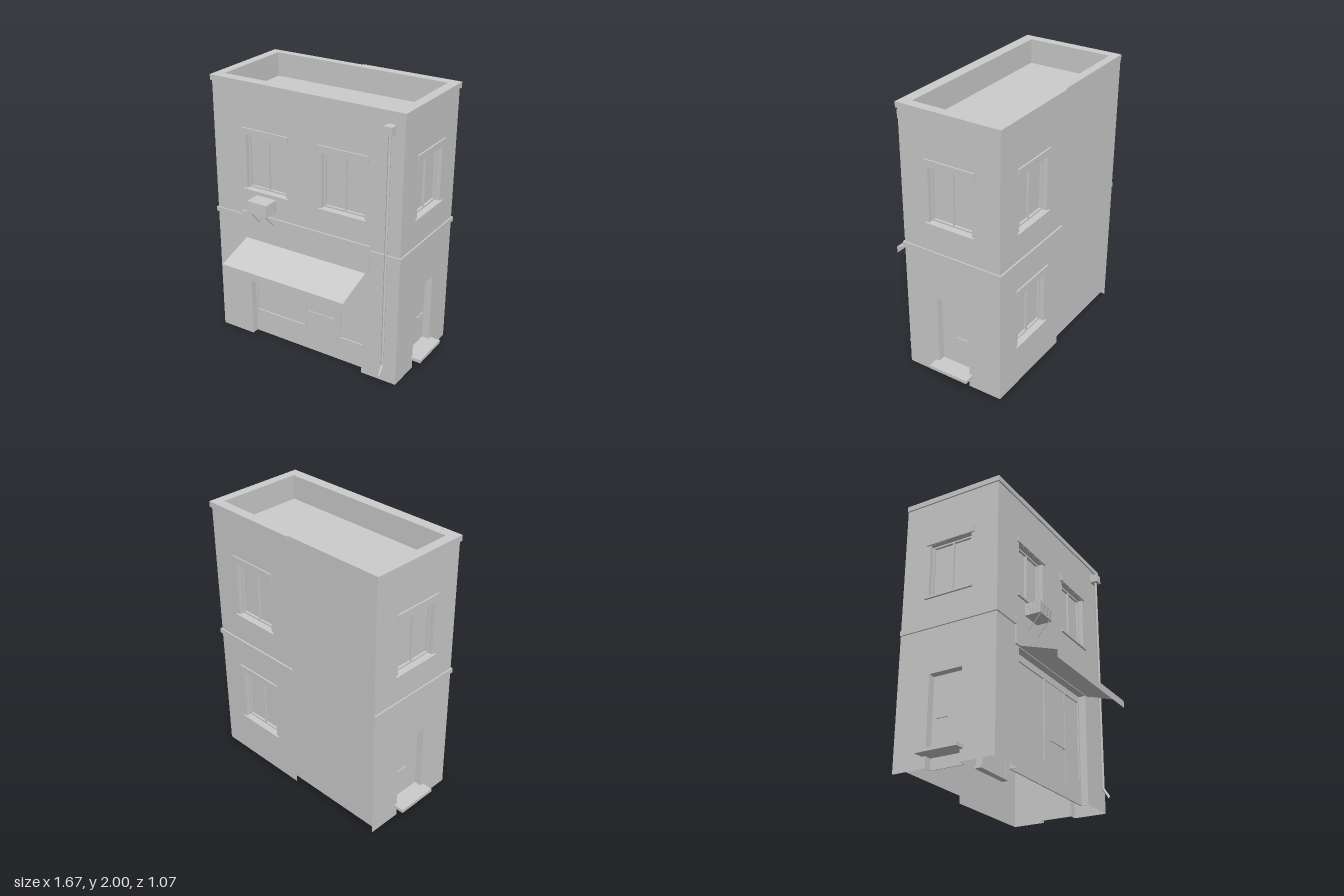
import * as THREE from 'three';

const W = 0.755, D = 0.38, ZC = -0.14, ROOF = 1.82, RECESS = 0.055;
const mat = new THREE.MeshStandardMaterial({ color: 0xcccccc });
const sheet = new THREE.MeshStandardMaterial({ color: 0xcccccc, side: THREE.DoubleSide });

function add(parent, name, geometry, material = mat) {
  const mesh = new THREE.Mesh(geometry, material);
  mesh.name = name;
  parent.add(mesh);
  return mesh;
}

// Box given by its limits
function block(parent, name, x0, x1, y0, y1, z0, z1) {
  const mesh = add(parent, name, new THREE.BoxGeometry(x1 - x0, y1 - y0, z1 - z0));
  mesh.position.set((x0 + x1) / 2, (y0 + y1) / 2, (z0 + z1) / 2);
  return mesh;
}

function polygon(points, holes = []) {
  const shape = new THREE.Shape(points.map(p => new THREE.Vector2(...p)));
  for (const [x0, x1, y0, y1] of holes) {
    shape.holes.push(new THREE.Path(
      [[x0, y0], [x0, y1], [x1, y1], [x1, y0]].map(p => new THREE.Vector2(...p))));
  }
  return shape;
}

const rect = (x0, x1, y0, y1) => [[x0, y0], [x1, y0], [x1, y1], [x0, y1]];

// Flat plate with holes, its back at z
function plate(parent, name, outline, holes, z, depth) {
  const geometry = new THREE.ExtrudeGeometry(polygon(outline, holes), { depth, bevelEnabled: false });
  return add(parent, name, geometry).position.z = z;
}

// Inner faces of an opening
function reveal(parent, x0, x1, y0, y1, hasSill) {
  const t = 0.003;
  block(parent, 'revealSide', x0 - t, x0, y0, y1, -RECESS, -0.001);
  block(parent, 'revealSide', x1, x1 + t, y0, y1, -RECESS, -0.001);
  block(parent, 'revealTop', x0, x1, y1, y1 + t, -RECESS, -0.001);
  if (hasSill) block(parent, 'revealBottom', x0, x1, y0 - t, y0, -RECESS, -0.001);
}

// A wall group faces local +z; its outline may be notched from below
function wall(root, name, x, z, turn, outline, holes) {
  const group = new THREE.Group();
  group.name = name;
  group.position.set(x, 0, z);
  group.rotation.y = turn;
  root.add(group);
  add(group, name + 'Surface', new THREE.ShapeGeometry(polygon(outline, holes)), sheet);
  return group;
}

const notched = (half, x0, x1, top) =>
  [[-half, 0], [x0, 0], [x0, top], [x1, top], [x1, 0], [half, 0], [half, ROOF], [-half, ROOF]];

const windowHole = (cx, y) => [cx - 0.168, cx + 0.168, y, y + 0.405];

function addWindow(parent, cx, y) {
  const group = new THREE.Group();
  group.name = 'window';
  group.position.set(cx, y, 0);
  parent.add(group);
  reveal(group, -0.168, 0.168, 0, 0.405, true);
  plate(group, 'windowFrame', rect(-0.168, 0.168, 0, 0.405),
    [[-0.156, -0.005, 0.012, 0.393], [0.005, 0.156, 0.012, 0.393]], -RECESS, 0.02);
  const glass = add(group, 'glass', new THREE.PlaneGeometry(0.336, 0.405), sheet);
  glass.position.set(0, 0.2025, -RECESS + 0.003);
  block(group, 'lintel', -0.193, 0.193, 0.405, 0.455, 0, 0.011);
  block(group, 'sill', -0.19, 0.19, -0.017, 0, -RECESS, 0.015);
}

// Push bar on two short posts
function handle(parent, x0, x1, z) {
  block(parent, 'handleBar', x0, x1, 0.332, 0.339, z + 0.012, z + 0.019);
  for (const x of [x0 + 0.01, x1 - 0.016]) block(parent, 'handlePost', x, x + 0.006, 0.333, 0.338, z, z + 0.013);
}

function addSideDoor(parent, dir) {
  reveal(parent, -0.128, 0.128, 0, 0.635, false);
  block(parent, 'doorBase', -0.128, 0.128, 0, 0.08, -RECESS - 0.006, -RECESS);
  block(parent, 'door', -0.128, 0.128, 0.08, 0.635, -RECESS - 0.006, -RECESS);
  handle(parent, dir < 0 ? -0.087 : 0, dir < 0 ? 0 : 0.087, -RECESS);
  block(parent, 'doorStep', -0.155, 0.155, 0.08, 0.105, 0, 0.078);
  block(parent, 'doorStepInner', -0.128, 0.128, 0.08, 0.105, -RECESS, 0);
}

function addShopfront(front) {
  const shop = new THREE.Group();
  shop.name = 'shopfront';
  front.add(shop);
  const z = -RECESS;
  reveal(shop, -0.48, 0.48, 0, 0.82, false);
  block(shop, 'shopBase', -0.48, 0.48, 0, 0.08, z - 0.01, z);
  plate(shop, 'shopFrame', rect(-0.48, 0.48, 0.08, 0.82),
    [[-0.465, -0.045, 0.19, 0.77], [0.265, 0.465, 0.19, 0.77], [-0.028, 0.248, 0.083, 0.77]], z - 0.01, 0.01);
  const glass = add(shop, 'shopGlass', new THREE.PlaneGeometry(0.96, 0.74), sheet);
  glass.position.set(0, 0.45, z - 0.0105);
  block(shop, 'shopDoor', -0.025, 0.245, 0.083, 0.767, z - 0.01, z - 0.002);
  handle(shop, 0, 0.22, z);
  block(shop, 'fascia', -0.53, 0.53, 0.825, 1.03, 0, 0.012);

  // Awning: sloped sheet and hanging valance
  const slope = Math.hypot(0.285, 0.095);
  const awning = add(shop, 'awning', new THREE.PlaneGeometry(1, slope), sheet);
  awning.position.set(0, 0.7725, 0.1525);
  awning.rotation.x = -Math.atan2(0.285, 0.095);
  add(shop, 'awningValance', new THREE.PlaneGeometry(1, 0.053), sheet).position.set(0, 0.6985, 0.295);
}

function addAirConditioner(front) {
  const unit = new THREE.Group();
  unit.name = 'airConditioner';
  front.add(unit);
  block(unit, 'unitBody', -0.4, -0.235, 1.085, 1.175, 0, 0.118);
  for (let i = 0; i < 5; i++) {
    const y = 1.097 + i * 0.015;
    block(unit, 'frontLouvre', -0.39, -0.245, y, y + 0.006, 0.117, 0.12);
    for (const x of [-0.401, -0.236]) block(unit, 'sideLouvre', x, x + 0.002, y, y + 0.006, 0.02, 0.1);
  }
  for (const x of [-0.38, -0.255]) {
    const path = new THREE.LineCurve3(new THREE.Vector3(x, 1.087, 0.11), new THREE.Vector3(x, 0.972, 0.005));
    add(unit, 'bracket', new THREE.TubeGeometry(path, 1, 0.004, 4), sheet);
  }
}

function addDownpipe(front) {
  const x = 0.664;
  block(front, 'rainHopper', x - 0.029, x + 0.029, 1.85, 1.912, 0, 0.06);
  const path = new THREE.CurvePath();
  const [a, b, c] = [[1.85, 0.031], [0.155, 0.031], [0.09, 0.074]].map(p => new THREE.Vector3(x, ...p));
  path.add(new THREE.LineCurve3(a, b));
  path.add(new THREE.LineCurve3(b, c));
  for (const [p, q] of [[a, b], [b, c]]) {
    add(front, 'downpipe', new THREE.TubeGeometry(new THREE.LineCurve3(p, q), 1, 0.01, 8), sheet);
  }
  add(front, 'pipeElbow', new THREE.SphereGeometry(0.01, 8, 6)).position.copy(b);
}

export function createModel() {
  const root = new THREE.Group();
  root.name = 'cornerShop';
  const cornice = (g, x0, x1, d) => block(g, 'cornice', x0, x1, 1.96, 2, 0, d);
  const course = (g, x0, x1, d) => block(g, 'stringCourse', x0, x1, 0.965, 1, 0, d);

  // Front wall
  const front = wall(root, 'frontWall', 0, ZC + D, 0, notched(W, -0.48, 0.48, 0.82),
    [windowHole(-0.316, 1.21), windowHole(0.31, 1.21)]);
  addWindow(front, -0.316, 1.21);
  addWindow(front, 0.31, 1.21);
  cornice(front, -W - 0.01, W + 0.01, 0.01);
  course(front, -W - 0.01, -0.53, 0.01);
  course(front, 0.53, W + 0.01, 0.01);
  addShopfront(front);
  addAirConditioner(front);
  addDownpipe(front);

  // Both side walls
  for (const s of [1, -1]) {
    const side = wall(root, s > 0 ? 'leftWall' : 'rightWall', s * W, ZC, s * Math.PI / 2,
      notched(D, -0.128, 0.128, 0.635), [windowHole(0, 1.21)]);
    addWindow(side, 0, 1.21);
    addSideDoor(side, s > 0 ? 1 : -1);
    cornice(side, -D, D, 0.01);
    course(side, -D, D, 0.01);
  }

  // Back wall, one half of it ending a little above the ground
  const back = wall(root, 'backWall', 0, ZC - D, Math.PI,
    [[-W, 0], [0, 0], [0, 0.055], [W, 0.055], [W, ROOF], [-W, ROOF]],
    [windowHole(-0.37, 1.21), windowHole(-0.37, 0.32)]);
  addWindow(back, -0.37, 1.21);
  addWindow(back, -0.37, 0.32);
  cornice(back, -W - 0.01, 0, 0.012);
  course(back, -W - 0.01, 0, 0.012);

  // Parapet and sunken roof
  const parapet = add(root, 'parapet', new THREE.ExtrudeGeometry(
    polygon(rect(-W, W, -D, D), [[-0.695, 0.695, -0.31, 0.32]]), { depth: 2 - ROOF, bevelEnabled: false }));
  parapet.rotation.x = -Math.PI / 2;
  parapet.position.set(0, ROOF, ZC);
  const roof = add(root, 'roof', new THREE.PlaneGeometry(1.4, 0.64), sheet);
  roof.rotation.x = -Math.PI / 2;
  roof.position.set(0, ROOF + 0.001, ZC - 0.005);
  return root;
}
